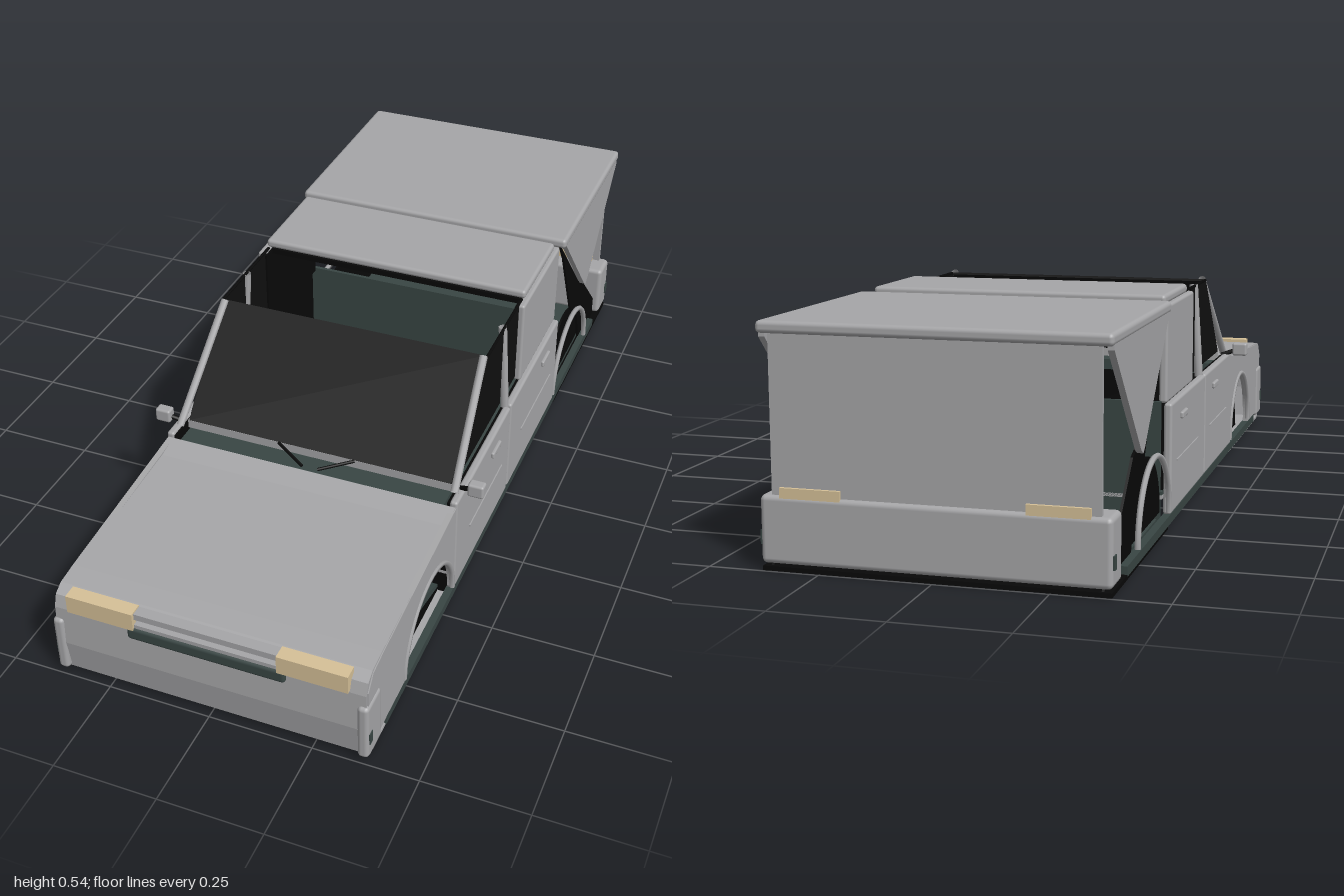
import * as THREE from 'three';
import { RoundedBoxGeometry } from 'three/addons/geometries/RoundedBoxGeometry.js';

export function createModel() {
  const car = new THREE.Group();
  car.name = 'car';
  const mat = (name, color, side = THREE.FrontSide) =>
    Object.assign(new THREE.MeshStandardMaterial({ color, side }), { name });
  const paint = mat('greyPaint', 0xa6a6a8, THREE.DoubleSide);
  const black = mat('blackLining', 0x080808, THREE.DoubleSide);
  const glass = mat('darkGlass', 0x101010, THREE.DoubleSide);
  const trim = mat('greenGreyTrim', 0x394644, THREE.DoubleSide);
  const lamp = mat('lampBeige', 0xd6c198);

  const add = (name, geometry, material) => {
    const m = new THREE.Mesh(geometry, material);
    m.name = name;
    car.add(m);
    return m;
  };
  // box given by its x, y and z ranges; r rounds its edges
  const box = (name, material, [x0, x1], [y0, y1], [z0, z1], r = 0) => {
    const s = [x1 - x0, y1 - y0, z1 - z0];
    const g = r ? new RoundedBoxGeometry(...s, 2, r) : new THREE.BoxGeometry(...s);
    g.translate((x0 + x1) / 2, (y0 + y1) / 2, (z0 + z1) / 2);
    return add(name, g, material);
  };
  // the same box on both sides of the car
  const pair = (name, material, [x0, x1], y, z, r) => {
    box(name + 'Left', material, [x0, x1], y, z, r);
    box(name + 'Right', material, [-x1, -x0], y, z, r);
  };
  const shapeOf = (pts) => new THREE.Shape(pts.map((p) => new THREE.Vector2(...p)));
  // (z, y) outline extruded across x, centred on x
  const plate = (name, material, shape, x, width) => {
    const g = new THREE.ExtrudeGeometry(shape, { depth: width, bevelEnabled: false, curveSegments: 24 });
    g.rotateY(-Math.PI / 2).translate(x + width / 2, 0, 0);
    return add(name, g, material);
  };
  const platePair = (name, material, shape, x, width) => {
    plate(name + 'Left', material, shape, x, width);
    plate(name + 'Right', material, shape, -x, width);
  };
  const rod = (name, material, a, b, r) => {
    const curve = new THREE.LineCurve3(new THREE.Vector3(...a), new THREE.Vector3(...b));
    return add(name, new THREE.TubeGeometry(curve, 1, r, 8), material);
  };

  // hood, nose and underside as one thin folded shell
  plate('hoodAndNose', paint, shapeOf([
    [0.43, 0.282], [0.49, 0.272], [0.9, 0.25], [0.955, 0.245], [0.98, 0.23], [0.99, 0.2],
    [0.995, 0.1], [0.985, 0.02], [0.97, 0.005], [0.43, 0.005], [0.43, 0.012], [0.965, 0.012],
    [0.98, 0.1], [0.975, 0.2], [0.95, 0.235], [0.9, 0.24], [0.49, 0.262], [0.43, 0.268],
  ]), 0, 0.75);

  // front fenders with wheel openings
  const fender = new THREE.Shape();
  fender.moveTo(0.43, 0.28);
  fender.lineTo(0.9, 0.247);
  fender.lineTo(0.955, 0.24);
  fender.lineTo(0.985, 0.205);
  fender.lineTo(0.985, 0.03);
  fender.lineTo(0.765, 0.03);
  fender.absarc(0.6, 0.04, 0.165, 0, Math.PI, false);
  fender.lineTo(0.43, 0.03);
  platePair('frontFender', paint, fender, 0.37, 0.015);

  // nose details
  pair('frontBumperEnd', paint, [0.355, 0.382], [0.02, 0.17], [0.92, 1], 0.01);
  pair('headlight', lamp, [0.172, 0.337], [0.205, 0.252], [0.965, 1]);
  box('grille', trim, [-0.19, 0.19], [0.176, 0.21], [0.97, 1], 0.008);
  box('noseBarLower', paint, [-0.17, 0.17], [0.212, 0.222], [0.975, 0.997]);
  box('noseBarUpper', paint, [-0.29, 0.29], [0.232, 0.248], [0.965, 0.992]);
  pair('sideMarker', trim, [0.375, 0.384], [0.06, 0.09], [0.975, 0.992]);

  // wheel arch lips and the dark linings behind them
  const lip = (x, z) => {
    const g = new THREE.TorusGeometry(0.165, 0.007, 6, 32, Math.PI);
    g.rotateY(Math.PI / 2).translate(x, 0.04, z);
    add('wheelArchLip', g, paint);
  };
  for (const s of [-1, 1]) for (const z of [0.6, -0.59]) lip(s * 0.376, z);
  const disc = new THREE.Shape();
  disc.absarc(-0.59, 0.04, 0.162, 0, Math.PI, false);
  platePair('rearWheelLining', black, disc, 0.352, 0.006);
  plate('frontWellBlock', black, shapeOf([[0.765, 0.02], [0.74, 0.1], [0.44, 0.03], [0.44, 0.02]]), 0, 0.68);
  plate('frontWellCover', trim, shapeOf([[0.74, 0.1], [0.71, 0.152], [0.44, 0.04], [0.44, 0.03]]), 0, 0.68);

  // floor, sills and bulkheads
  pair('sill', trim, [0.36, 0.378], [0.01, 0.032], [-0.86, 0.88]);
  box('cabinFloor', trim, [-0.36, 0.36], [0.08, 0.088], [-0.43, 0.43]);
  box('cabinUnderside', paint, [-0.36, 0.36], [0.07, 0.079], [-0.43, 0.43]);
  box('frontBulkhead', black, [-0.36, 0.36], [0.012, 0.27], [0.42, 0.43]);
  box('rearBulkhead', trim, [-0.355, 0.355], [0.012, 0.3], [-0.43, -0.42]);
  box('trunkUnderside', black, [-0.378, 0.378], [0.004, 0.014], [-0.995, -0.44]);
  box('trunkFloor', trim, [-0.35, 0.35], [0.015, 0.025], [-0.97, -0.44]);

  // dashboard, cowl and wipers
  box('dashboard', trim, [-0.345, 0.345], [0.25, 0.278], [0.3, 0.43]);
  box('cowl', paint, [-0.35, 0.35], [0.278, 0.3], [0.362, 0.372]);
  for (const s of [-1, 1]) rod('wiper', black, [s * 0.02, 0.285, 0.42], [s * 0.1, 0.303, 0.378], 0.004);

  // doors with handles and a pressed crease
  for (const [name, z0, z1, h0] of [['frontDoor', 0.016, 0.43, 0.11], ['rearDoor', -0.42, 0.01, -0.32]]) {
    pair(name, paint, [0.36, 0.38], [0.032, 0.295], [z0, z1], 0.007);
    pair(name + 'Lining', black, [0.354, 0.359], [0.09, 0.29], [z0, z1]);
    pair(name + 'Handle', paint, [0.378, 0.388], [0.242, 0.258], [h0, h0 + 0.062], 0.004);
    pair(name + 'Crease', paint, [0.378, 0.383], [0.148, 0.153], [z0 + 0.06, z1 - 0.1]);
  }

  // windows and pillars
  plate('windscreen', glass, shapeOf([[0.375, 0.303], [0.147, 0.525], [0.14, 0.52], [0.368, 0.298]]), 0, 0.69);
  platePair('frontWindow', glass, shapeOf([[0.35, 0.305], [0.15, 0.52], [0.025, 0.52], [0.025, 0.305]]), 0.35, 0.006);
  platePair('rearWindow', glass, shapeOf([[-0.005, 0.305], [-0.005, 0.52], [-0.11, 0.52], [-0.11, 0.305]]), 0.35, 0.006);
  for (const s of [-1, 1]) {
    rod('windscreenPillar', paint, [s * 0.36, 0.297, 0.395], [s * 0.342, 0.525, 0.15], 0.01);
    rod('centrePillar', paint, [s * 0.362, 0.29, 0.012], [s * 0.346, 0.525, 0.012], 0.011);
    rod('windowRail', black, [s * 0.35, 0.522, 0.15], [s * 0.35, 0.522, -0.13], 0.004);
  }
  pair('rearQuarter', paint, [0.348, 0.368], [0.295, 0.522], [-0.42, -0.1], 0.007);
  pair('quarterLining', black, [0.342, 0.347], [0.295, 0.515], [-0.415, -0.1]);
  box('rearRoof', paint, [-0.358, 0.358], [0.52, 0.543], [-0.4, -0.135], 0.009);
  box('roofLining', black, [-0.345, 0.345], [0.505, 0.519], [-0.43, -0.135]);

  // mirrors
  pair('mirror', paint, [0.39, 0.43], [0.292, 0.327], [0.365, 0.393], 0.006);
  for (const s of [-1, 1]) rod('mirrorStalk', black, [s * 0.36, 0.293, 0.37], [s * 0.395, 0.305, 0.378], 0.006);

  // raised trunk lid with triangular cheeks
  box('trunkLid', paint, [-0.38, 0.38], [0.508, 0.535], [-1, -0.432], 0.01);
  platePair('trunkCheek', paint, shapeOf([
    [-0.435, 0.525], [-0.985, 0.525], [-0.985, 0.5], [-0.735, 0.25], [-0.715, 0.24], [-0.7, 0.25],
  ]), 0.371, 0.014);
  platePair('trunkLining', black, shapeOf([
    [-0.445, 0.515], [-0.71, 0.245], [-0.74, 0.235], [-0.92, 0.065], [-0.99, 0.015],
    [-0.76, 0.015], [-0.72, 0.12], [-0.63, 0.2], [-0.5, 0.44],
  ]), 0.358, 0.006);

  // tailgate, rear bumper and lamps
  box('tailgate', paint, [-0.355, 0.355], [0.165, 0.51], [-0.99, -0.978]);
  box('rearBumper', paint, [-0.38, 0.38], [0.02, 0.168], [-1, -0.915], 0.012);
  pair('rearMarker', trim, [0.376, 0.383], [0.06, 0.09], [-0.992, -0.975]);
  pair('tailLight', lamp, [0.2, 0.335], [0.16, 0.185], [-0.998, -0.96]);

  return car;
}
